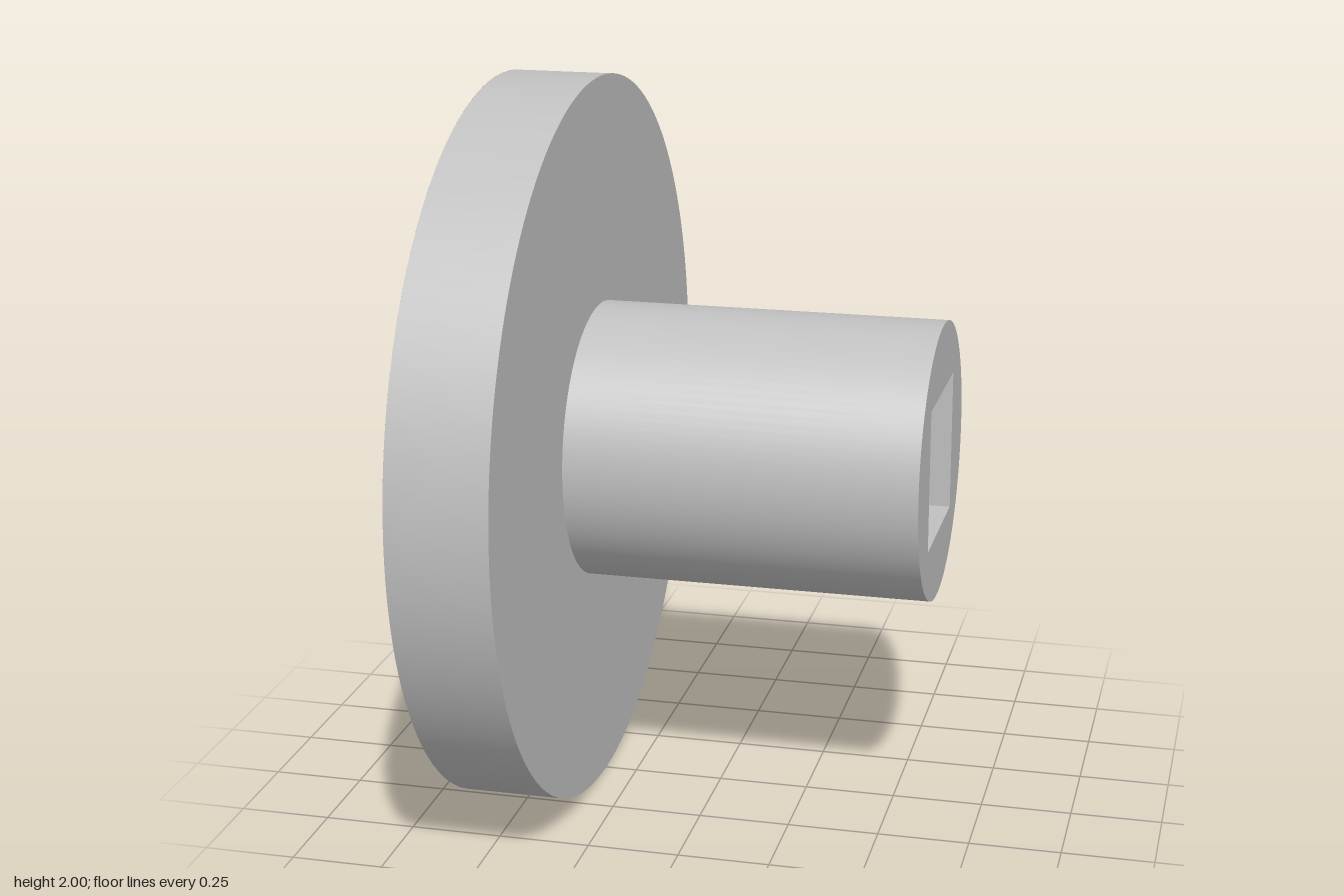
import * as THREE from 'three';

const BACK = -0.61, STEP = -0.34, END = 0.61; // stations along x
const DISC_R = 1, BARREL_R = 0.38, BORE = 0.195;
const HOLE_R = 0.09, HOLE_AT = 0.8, HOLE_DEPTH = 0.2;
const SEG = 96;

export function createModel() {
  const model = new THREE.Group();
  const body = new THREE.Group();
  body.position.y = 1;
  model.add(body);

  const steel = new THREE.MeshStandardMaterial({ color: 0xc0c0c0, side: THREE.DoubleSide });
  steel.name = 'light grey';

  const add = (name, geometry, y = 0, z = 0) => {
    const mesh = new THREE.Mesh(geometry, steel);
    mesh.name = name;
    mesh.position.set(0, y, z);
    body.add(mesh);
  };

  // Open tube wall along x
  const wall = (r, x0, x1, sides = SEG, start = 0) =>
    new THREE.CylinderGeometry(r, r, x1 - x0, sides, 1, true, start)
      .rotateZ(-Math.PI / 2).translate((x0 + x1) / 2, 0, 0);

  // Flat round face with cut-outs, looking along +x (dir 1) or -x (dir -1)
  const face = (r, x, dir, holes = []) => {
    const shape = new THREE.Shape().absarc(0, 0, r, 0, Math.PI * 2, false);
    shape.holes.push(...holes);
    return new THREE.ShapeGeometry(shape, SEG).rotateY(dir * Math.PI / 2).translate(x, 0, 0);
  };
  const circle = (u, v, r) => new THREE.Path().absarc(u, v, r, 0, Math.PI * 2, true);
  const square = () => new THREE.Path([[-1, -1], [-1, 1], [1, 1], [1, -1]]
    .map(([u, v]) => new THREE.Vector2(u * BORE, v * BORE)));

  const holeCentres = [[HOLE_AT, 0], [0, HOLE_AT], [-HOLE_AT, 0], [0, -HOLE_AT]];

  // Flange disc
  add('flangeRim', wall(DISC_R, BACK, STEP));
  add('flangeInnerFace', face(DISC_R, STEP, 1, [circle(0, 0, BARREL_R)]));
  add('flangeOuterFace', face(DISC_R, BACK, -1,
    [square(), ...holeCentres.map(([u, v]) => circle(u, v, HOLE_R))]));

  // Barrel
  add('barrel', wall(BARREL_R, STEP, END));
  add('barrelEnd', face(BARREL_R, END, 1, [square()]));

  // Square bore through the whole length
  const bore = wall(BORE * Math.SQRT2, BACK, END, 4, Math.PI / 4).toNonIndexed();
  bore.computeVertexNormals();
  add('squareBore', bore);

  // Blind mounting holes in the outer face
  for (const [z, y] of holeCentres) {
    add('mountingHoleWall', wall(HOLE_R, BACK, BACK + HOLE_DEPTH), y, z);
    add('mountingHoleFloor', face(HOLE_R, BACK + HOLE_DEPTH, -1), y, z);
  }
  return model;
}
